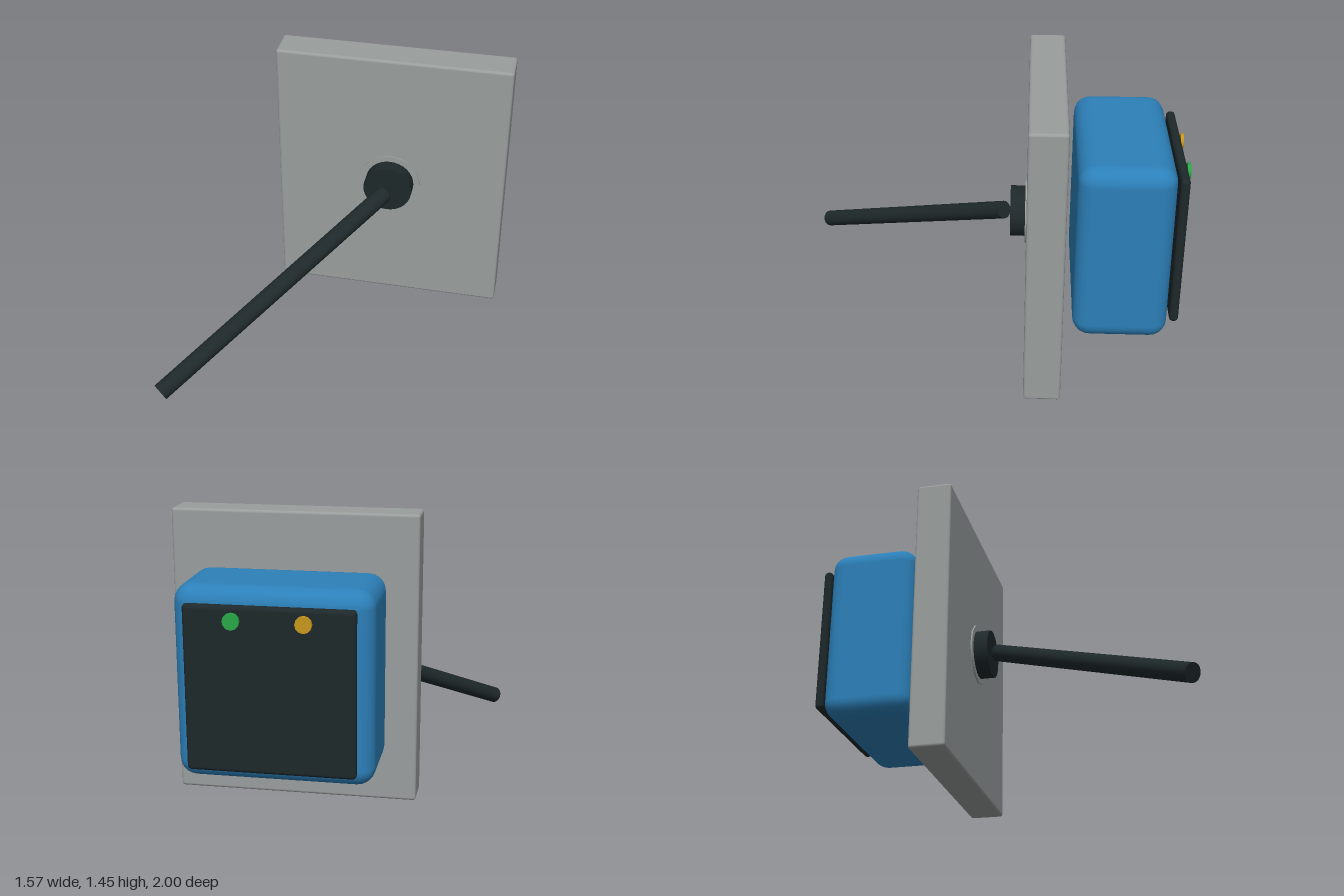
import * as THREE from 'three';
import { RoundedBoxGeometry } from 'three/addons/geometries/RoundedBoxGeometry.js';

const CX = 0.18, CY = 0.725; // shared axis of plate, housing and gland

function material(name, color) {
  const m = new THREE.MeshStandardMaterial({ color });
  m.name = name;
  return m;
}

export function createModel() {
  const group = new THREE.Group();
  const grey = material('plate grey', 0x999e9d);
  const blue = material('housing blue', 0x2c80b9);
  const dark = material('dark rubber', 0x1e282a);
  const green = material('green light', 0x28a745);
  const amber = material('amber light', 0xc8961e);

  function add(name, geometry, mat, x, y, z) {
    const mesh = new THREE.Mesh(geometry, mat);
    mesh.name = name;
    mesh.position.set(x, y, z);
    group.add(mesh);
    return mesh;
  }
  // Cylinder lying along z between two depths
  function disc(name, r, zFront, zBack, sides, mat, x, y) {
    const g = new THREE.CylinderGeometry(r, r, zFront - zBack, sides).rotateX(Math.PI / 2);
    return add(name, g, mat, x, y, (zFront + zBack) / 2);
  }

  // Mounting plate
  add('mountingPlate', new RoundedBoxGeometry(1.21, 1.445, 0.182, 2, 0.015), grey, CX, 0.7225, -0.311);

  // Housing and its back panel
  add('housing', new RoundedBoxGeometry(0.925, 0.925, 0.462, 3, 0.085), blue, CX - 0.002, CY, -0.685);
  add('backPanel', new RoundedBoxGeometry(0.786, 0.786, 0.045, 3, 0.02), dark, CX - 0.002, CY, -0.952);

  // Indicator lights
  disc('greenLight', 0.039, -0.984, -1, 12, green, 0.34, 1.053);
  disc('amberLight', 0.039, -0.984, -1, 12, amber, 0.015, 1.053);

  // Cable gland on the front
  disc('glandWasher', 0.162, -0.212, -0.23, 12, grey, CX, CY);
  disc('cableGland', 0.128, -0.138, -0.215, 32, dark, CX, CY);

  // Straight cable
  const start = new THREE.Vector3(0.176, 0.726, -0.105);
  const end = new THREE.Vector3(-0.75, 0.12, 0.967);
  const dir = end.clone().sub(start);
  const mid = start.clone().add(end).multiplyScalar(0.5);
  const cable = add('cable', new THREE.CylinderGeometry(0.045, 0.045, dir.length(), 20), dark, mid.x, mid.y, mid.z);
  cable.quaternion.setFromUnitVectors(new THREE.Vector3(0, 1, 0), dir.normalize());

  return group;
}
